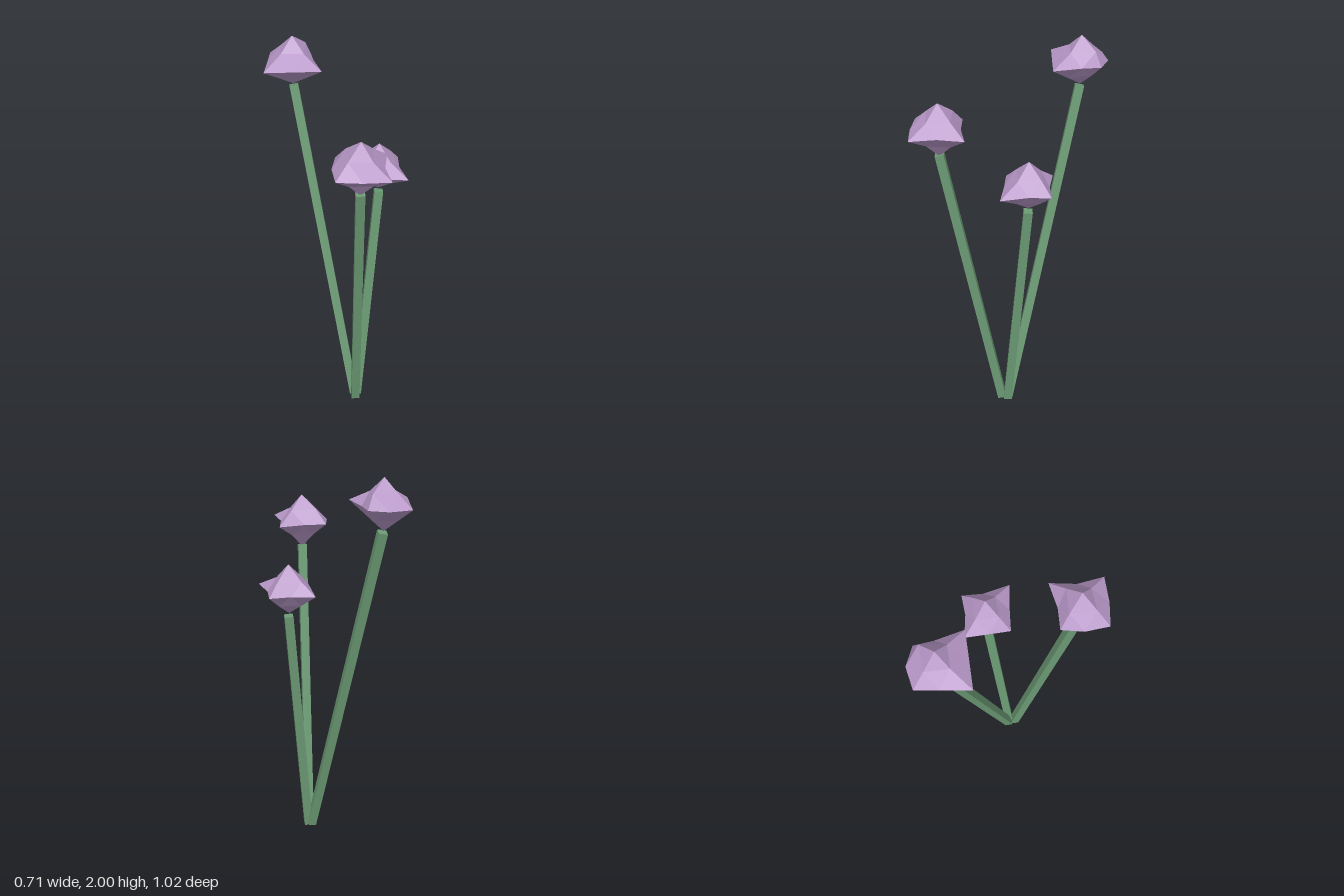
import * as THREE from 'three';

const stemMaterial = new THREE.MeshStandardMaterial({ color: 0x6b9a74, flatShading: true });
const budMaterial = new THREE.MeshStandardMaterial({ color: 0xb898c8, flatShading: true });
const SQUASH = 0.75; // buds are flatter than they are wide

// tips: reach along -x +x -y +y -z +z
// xz, xy, yz: offset of the points between two tips, ordered by sign: -- -+ +- ++
const flowers = [
  {
    base: [0.05, 0.01, 0.10], top: [0.09, 1.745, -0.355], centre: [0.09, 1.87, -0.36],
    tips: [0.2, 0.13, 0.12, 0.13, 0.155, 0.195],
    xz: [0.087, 0.099, 0.093, 0.073], xy: [0.088, 0.08, 0.074, 0.092], yz: [0.079, 0.088, 0.08, 0.077],
  },
  {
    base: [0.03, 0.01, 0.13], top: [-0.185, 1.51, 0.325], centre: [-0.185, 1.64, 0.325],
    tips: [0.17, 0.185, 0.14, 0.135, 0.155, 0.185],
    xz: [0.093, 0.095, 0.075, 0.078], xy: [0.08, 0.088, 0.085, 0.088], yz: [0.08, 0.08, 0.092, 0.075],
  },
  {
    base: [0.06, 0.01, 0.115], top: [0.205, 1.27, 0.113], centre: [0.205, 1.4, 0.11],
    tips: [0.155, 0.15, 0.115, 0.135, 0.165, 0.19],
    xz: [0.08, 0.083, 0.07, 0.073], xy: [0.078, 0.085, 0.078, 0.085], yz: [0.08, 0.08, 0.08, 0.075],
  },
];

// Four-sided stem between two points
function makeStem({ base, top }) {
  const a = new THREE.Vector3(...base);
  const b = new THREE.Vector3(...top);
  const direction = b.clone().sub(a);
  const stem = new THREE.Mesh(new THREE.CylinderGeometry(0.031, 0.031, direction.length(), 4), stemMaterial);
  stem.position.copy(a).add(b).multiplyScalar(0.5);
  stem.quaternion.setFromUnitVectors(new THREE.Vector3(0, 1, 0), direction.normalize());
  stem.name = 'stem';
  return stem;
}

// Irregular faceted bud: a once-divided octahedron with uneven points
function makeBud({ centre, tips, xz, xy, yz }) {
  const geometry = new THREE.OctahedronGeometry(1, 1);
  const position = geometry.attributes.position;
  const sign = (v) => (Math.abs(v) < 0.1 ? 0 : Math.sign(v));
  const pick = (list, a, b) => list[(a > 0 ? 2 : 0) + (b > 0 ? 1 : 0)];
  for (let i = 0; i < position.count; i++) {
    const s = [position.getX(i), position.getY(i), position.getZ(i)].map(sign);
    const [x, y, z] = s;
    if (Math.abs(x) + Math.abs(y) + Math.abs(z) === 1) {
      const axis = s.findIndex((v) => v !== 0);
      const reach = tips[axis * 2 + (s[axis] > 0 ? 1 : 0)];
      position.setXYZ(i, x * reach, y * reach, z * reach);
    } else {
      const d = y === 0 ? pick(xz, x, z) : z === 0 ? pick(xy, x, y) : pick(yz, y, z);
      position.setXYZ(i, x * d, y * d * SQUASH, z * d);
    }
  }
  geometry.computeVertexNormals();
  const bud = new THREE.Mesh(geometry, budMaterial);
  bud.position.set(...centre);
  bud.name = 'bud';
  return bud;
}

export function createModel() {
  const model = new THREE.Group();
  model.name = 'flowers';
  for (const data of flowers) {
    const flower = new THREE.Group();
    flower.name = 'flower';
    flower.add(makeStem(data), makeBud(data));
    model.add(flower);
  }
  return model;
}
